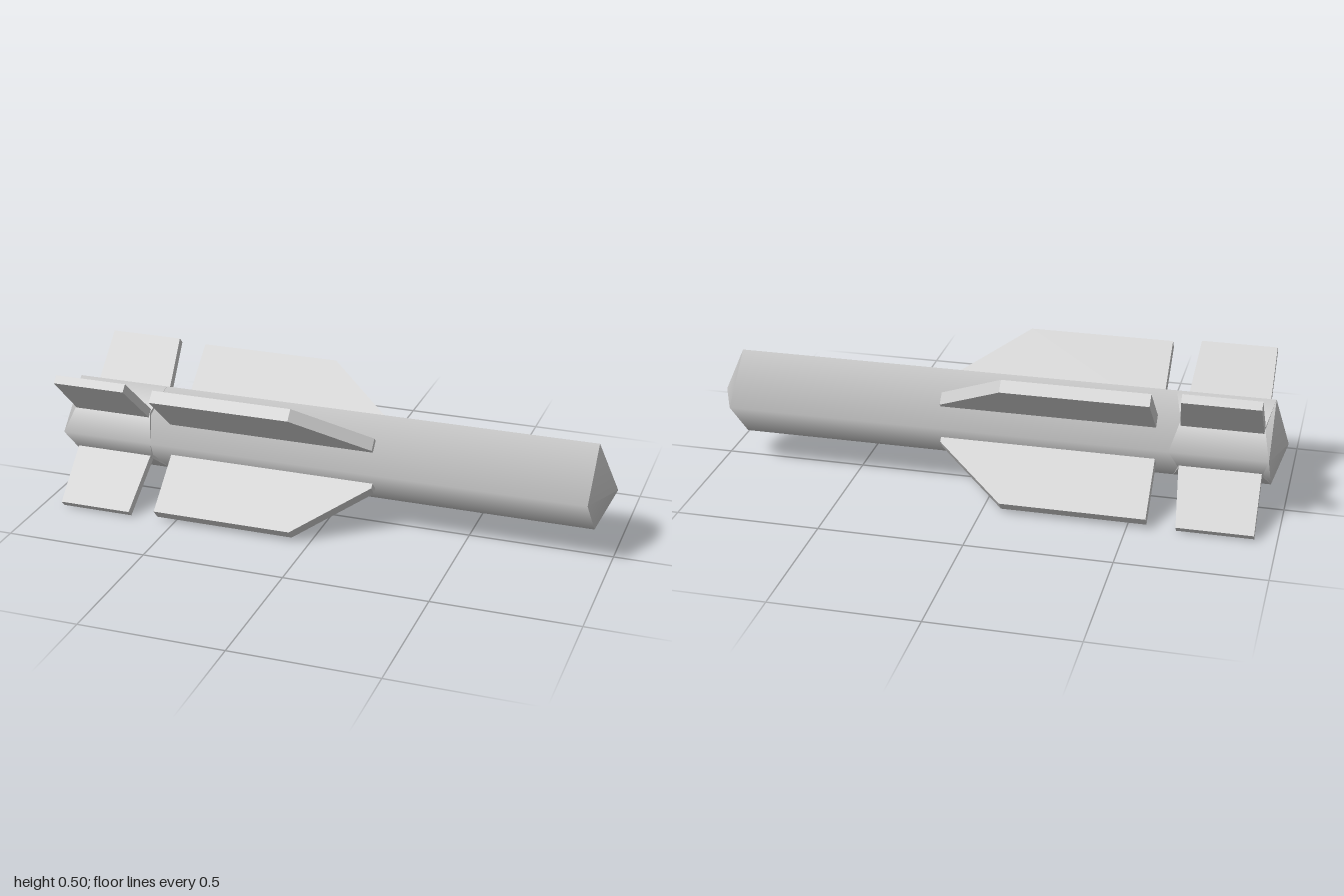
import * as THREE from 'three';

const RADIUS = 0.157;
const AXIS_Y = 0.25;

export function createModel() {
  const model = new THREE.Group();
  const material = new THREE.MeshStandardMaterial({ color: 0xcccccc });

  const add = (name, geometry) => {
    const mesh = new THREE.Mesh(geometry, material);
    mesh.name = name;
    mesh.position.y = AXIS_Y;
    model.add(mesh);
    return mesh;
  };

  // Round section lying along x, from x0 to x1
  const section = (x0, x1, r0, r1, sides, open) =>
    new THREE.CylinderGeometry(r1, r0, x1 - x0, sides, 1, open)
      .rotateZ(-Math.PI / 2)
      .translate((x0 + x1) / 2, 0, 0);

  // Four-sided body with pointed ends
  add('body', section(-0.95, 0.93, RADIUS, RADIUS, 4, true));
  add('noseCap', section(0.93, 1, RADIUS, 0, 4, true));
  add('tailCap', section(-1, -0.95, 0, RADIUS, 4, true));

  // Tail collar: bulges slightly between the body corners, with notched ends
  const collar = section(-0.95, -0.617, RADIUS, RADIUS, 8, false);
  const p = collar.attributes.position;
  for (let i = 0; i < p.count; i++) {
    const y = p.getY(i), z = p.getZ(i);
    const onCorner = Math.abs(y) > 0.15 || Math.abs(z) > 0.15;
    if (onCorner) continue;
    const s = 0.124 / RADIUS;
    p.setXYZ(i, p.getX(i) < -0.78 ? -0.925 : -0.645, y * s, z * s);
  }
  add('tailCollar', collar);

  // Four mirrored fins; outline is [x, distance from axis]
  const addFins = (name, outline, thickness, elevation) => {
    const shape = new THREE.Shape(outline.map(([x, r]) => new THREE.Vector2(x, r)));
    const fin = new THREE.ExtrudeGeometry(shape, { depth: thickness, bevelEnabled: false })
      .translate(0, 0, -thickness / 2);
    const a = THREE.MathUtils.degToRad(90 - elevation);
    [a, -a, Math.PI - a, Math.PI + a].forEach((angle, i) => {
      add(name + (i + 1), fin).rotation.x = angle;
    });
  };

  addFins('mainFin',
    [[-0.565, 0.04], [0.18, 0.04], [0.18, 0.13], [-0.065, 0.334], [-0.565, 0.334]],
    0.0446, 41.5);
  addFins('tailFin',
    [[-0.925, 0.04], [-0.64, 0.04], [-0.645, 0.115], [-0.665, 0.342], [-0.925, 0.342]],
    0.031, 43.9);

  return model;
}
